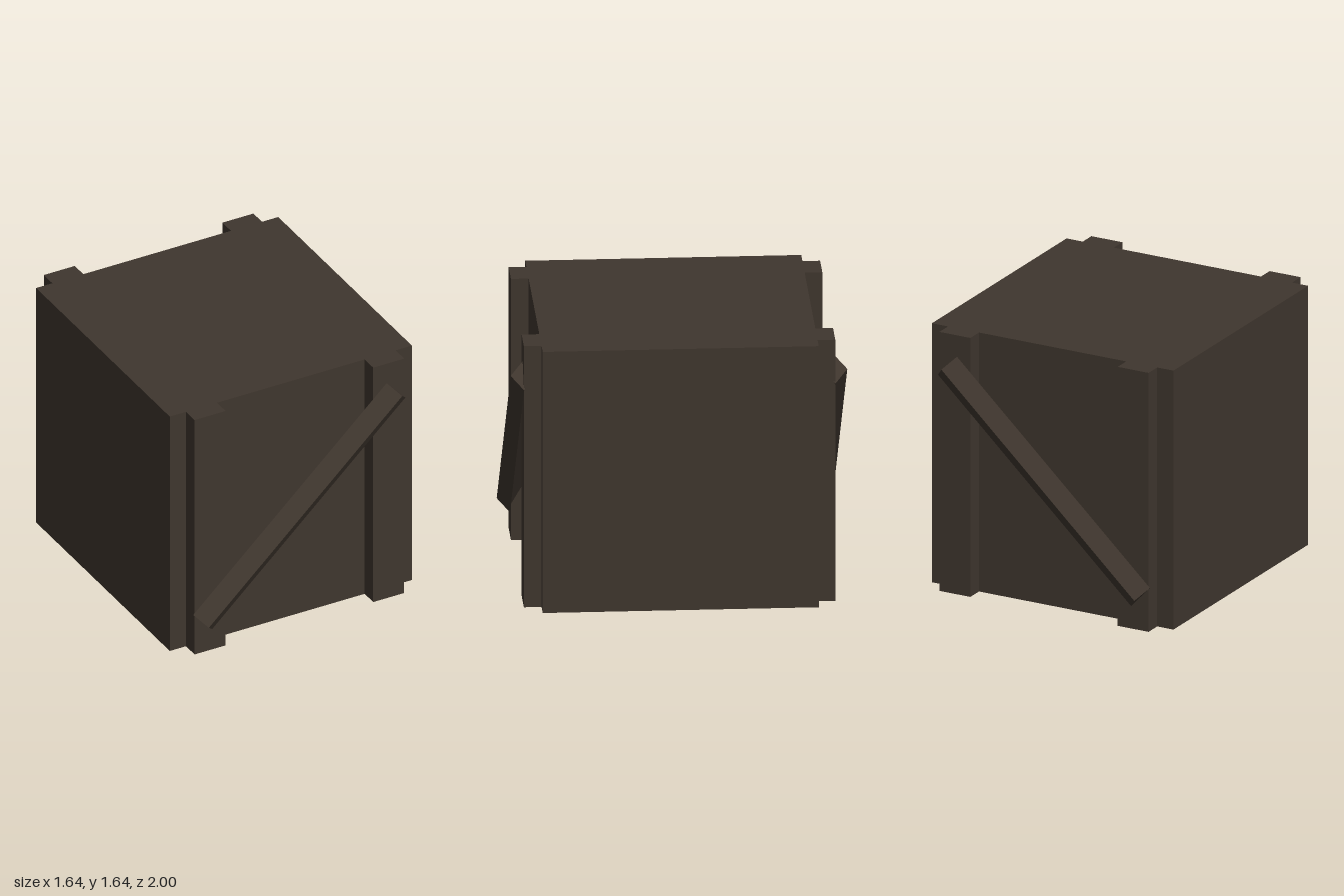
import * as THREE from 'three';

const darkWood = new THREE.MeshStandardMaterial({ color: 0x3f362e });
darkWood.name = 'darkWood';

const SIZE = 1.64;

function addPart(group, name, geometry, x, y, z) {
  const mesh = new THREE.Mesh(geometry, darkWood);
  mesh.name = name;
  mesh.position.set(x, y, z);
  group.add(mesh);
  return mesh;
}

// Diamond-section bar with flat faces, running along y
function barGeometry(length, halfWidth, halfDepth) {
  const bar = new THREE.CylinderGeometry(1, 1, length, 4)
    .scale(halfWidth, 1, halfDepth)
    .toNonIndexed();
  bar.computeVertexNormals();
  return bar;
}

export function createModel() {
  const crate = new THREE.Group();
  crate.name = 'crate';

  // Solid body
  addPart(crate, 'body', new THREE.BoxGeometry(SIZE, SIZE, SIZE), 0, SIZE / 2, 0);

  const post = new THREE.BoxGeometry(0.21, SIZE, 0.105);
  const run = 1.31, rise = 1.225;
  const bar = barGeometry(Math.hypot(run, rise), 0.094, 0.075);

  for (const [end, side] of [['front', 1], ['back', -1]]) {
    // Upright posts near the corners
    addPart(crate, end + 'LeftPost', post, 0.605, SIZE / 2, side * 0.8725);
    addPart(crate, end + 'RightPost', post, -0.605, SIZE / 2, side * 0.8725);

    // Diagonal brace across the posts
    const brace = addPart(crate, end + 'Brace', bar, 0, 0.823, side * 0.925);
    brace.rotation.z = -Math.atan2(run, rise);
  }
  return crate;
}
